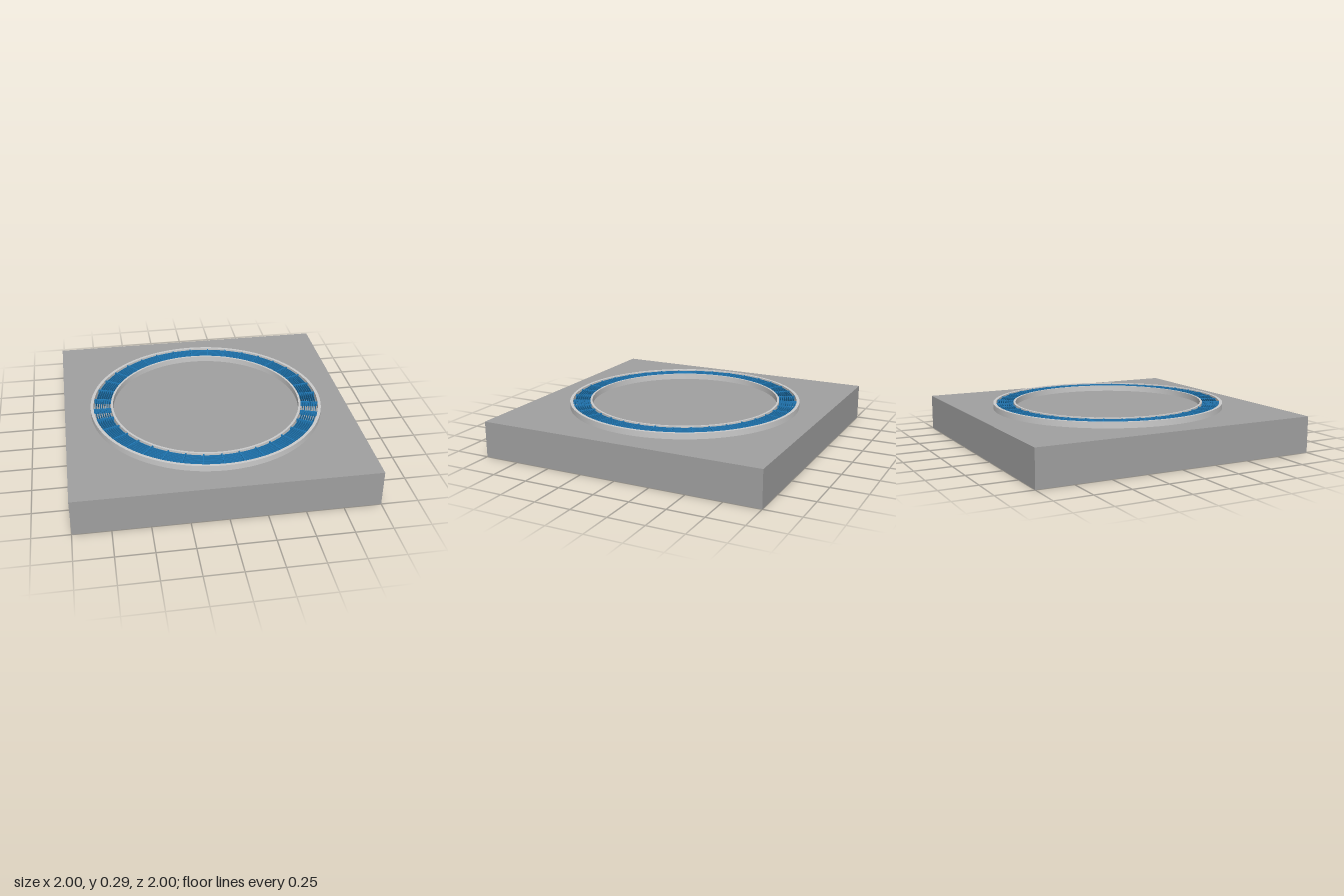
import * as THREE from 'three';
import { toCreasedNormals } from 'three/addons/utils/BufferGeometryUtils.js';

const BASE_TOP = 0.25, FRAME_TOP = 0.29, GRATE_TOP = 0.286;
const INNER = 0.675, OUTER = 0.797;

const concrete = new THREE.MeshStandardMaterial({ color: 0xa0a0a0 });
const metal = new THREE.MeshStandardMaterial({ color: 0xcccccc });
const blue = new THREE.MeshStandardMaterial({ color: 0x1f77b4 });

// Closed ring of rectangular section, sharp edges, smooth around
function ring(name, r0, r1, y0, y1, material) {
  const profile = [[r1, y0], [r1, y1], [r0, y1], [r0, y0], [r1, y0]]
    .map(([x, y]) => new THREE.Vector2(x, y));
  const geometry = toCreasedNormals(new THREE.LatheGeometry(profile, 96), 0.6);
  const mesh = new THREE.Mesh(geometry, material);
  mesh.name = name;
  return mesh;
}

export function createModel() {
  const model = new THREE.Group();
  model.name = 'ringDrain';

  // Square slab
  const slab = new THREE.Mesh(new THREE.BoxGeometry(2, BASE_TOP, 2), concrete);
  slab.name = 'slab';
  slab.position.y = BASE_TOP / 2;
  model.add(slab);

  // Raised rims either side of the grate
  model.add(ring('innerRim', 0.66, INNER, BASE_TOP, FRAME_TOP, metal));
  model.add(ring('outerRim', OUTER, 0.818, BASE_TOP, FRAME_TOP, metal));

  // Thin concentric grate bars
  const grate = new THREE.Group();
  grate.name = 'grate';
  const count = 7, pitch = (OUTER - INNER) / (count + 1);
  for (let i = 1; i <= count; i++) {
    const r = INNER + i * pitch;
    grate.add(ring('concentricBar', r - 0.0015, r + 0.0015, BASE_TOP, GRATE_TOP - 0.001, blue));
  }

  // Radial cross bars every ten degrees
  const height = GRATE_TOP - BASE_TOP;
  const barGeometry = new THREE.BoxGeometry(OUTER - INNER, height, 0.008);
  for (let i = 0; i < 36; i++) {
    const angle = (i * Math.PI) / 18, r = (INNER + OUTER) / 2;
    const bar = new THREE.Mesh(barGeometry, blue);
    bar.name = 'radialBar';
    bar.position.set(r * Math.cos(angle), BASE_TOP + height / 2, -r * Math.sin(angle));
    bar.rotation.y = angle;
    grate.add(bar);
  }
  model.add(grate);
  return model;
}
